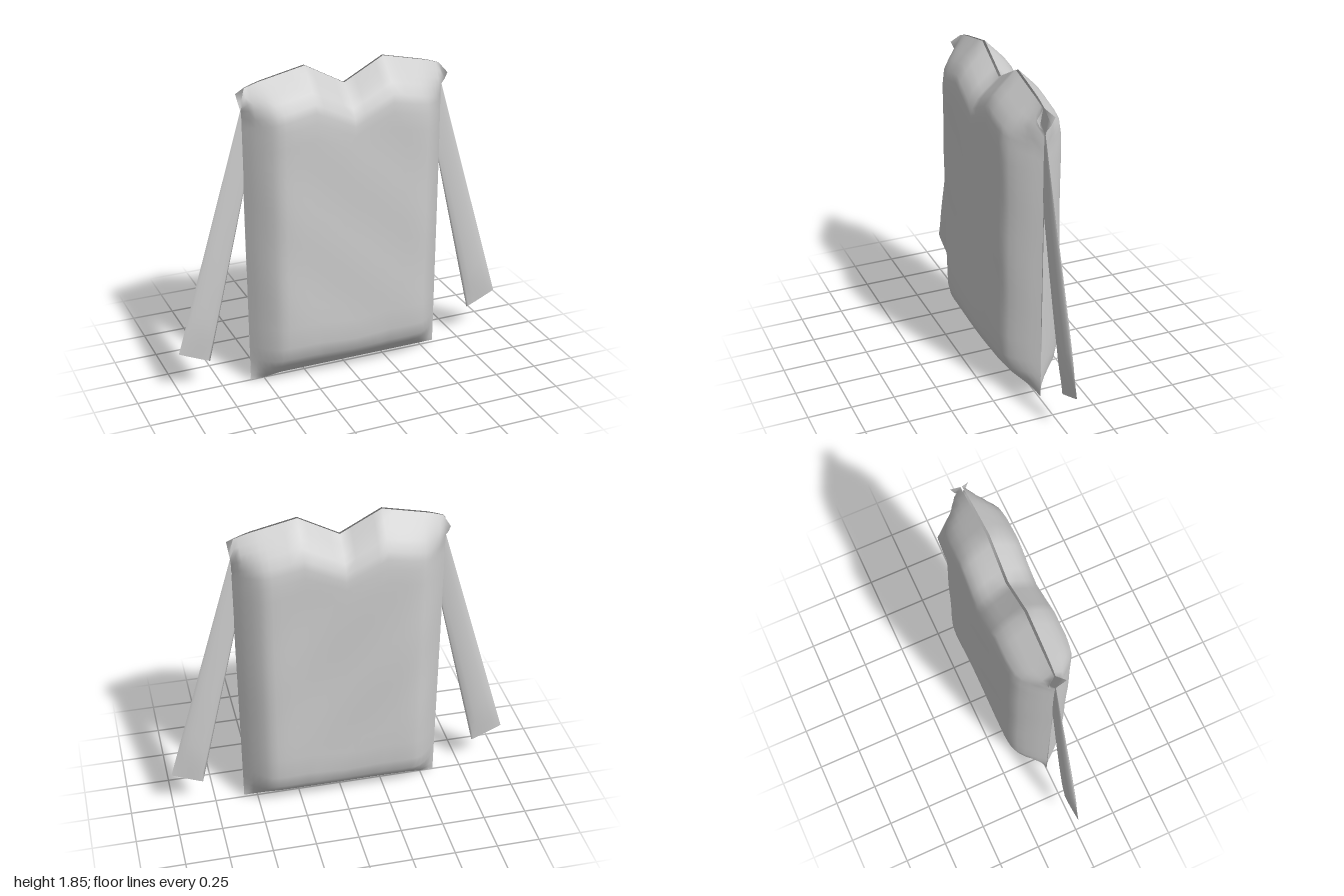
import * as THREE from 'three';

// piecewise-linear lookup through [x, y] points
function lerpAt(points, x) {
  if (x <= points[0][0]) return points[0][1];
  for (let i = 1; i < points.length; i++) {
    const [x0, y0] = points[i - 1], [x1, y1] = points[i];
    if (x <= x1) return y0 + (y1 - y0) * (x - x0) / (x1 - x0);
  }
  return points[points.length - 1][1];
}

// smooth surface from rows of equally many points
function gridGeometry(rows, flip) {
  const n = rows[0].length, index = [];
  for (let j = 0; j < rows.length - 1; j++) {
    for (let i = 0; i < n - 1; i++) {
      const a = j * n + i, b = a + 1, c = a + n, d = c + 1;
      if (flip) index.push(a, c, b, b, c, d);
      else index.push(a, b, c, b, d, c);
    }
  }
  const g = new THREE.BufferGeometry();
  g.setAttribute('position', new THREE.Float32BufferAttribute(rows.flat(2), 3));
  g.setIndex(index);
  g.computeVertexNormals();
  return g;
}

// outline and padding profiles of the body
const TOP = [[0, 1.725], [0.38, 1.85], [0.83, 1.79], [0.95, 1.765], [1, 1.72]];
const BOTTOM = [[-0.95, 0.003], [-0.85, 0], [-0.7, 0.013], [1, 0.015]];
const HALF_WIDTH = [[0, 0.58], [1.18, 0.59], [1.6, 0.59], [1.67, 0.596], [1.72, 0.603]];
const SIDE = [[0, 1], [0.6, 0.99], [0.73, 0.95], [0.8, 0.81], [0.87, 0.59], [0.94, 0.31], [1, 0.01]];
const SHOULDER = [[0, 1], [0.6, 0.99], [0.73, 0.95], [0.8, 0.87], [0.87, 0.73], [0.94, 0.56], [1, 0.3]];
const SHOULDER_BLEND = [[1.58, 0], [1.68, 1]];
const HEM = [[0, 0.01], [0.05, 0.38], [0.1, 0.66], [0.16, 0.92], [0.24, 1]];
const NECK = [[0, 0.04], [0.06, 0.38], [0.11, 0.66], [0.17, 0.91], [0.26, 1]];
const NECK_STEEPNESS = [[0, 1.25], [0.38, 1]];
const ARMHOLE = [[1.64, 0.002], [1.7, 0.052], [1.72, 0.052]];

// one padded panel: side +1 is the front, -1 the back
function panelGeometry(side) {
  const half = [0.1, 0.2, 0.3, 0.38, 0.5, 0.6, 0.68, 0.74, 0.8, 0.86, 0.91, 0.95, 1];
  const us = [...half.map(u => -u).reverse(), 0, ...half];
  const vs = [0, 0.015, 0.03, 0.055, 0.085, 0.13];
  for (let v = 0.2; v < 0.83; v += 0.06) vs.push(v);
  vs.push(0.85, 0.88, 0.905, 0.935, 0.955, 0.975, 1);
  const rows = vs.map(v => us.map(u => {
    const a = Math.abs(u), bottom = lerpAt(BOTTOM, u);
    const top = lerpAt(TOP, a);
    const y = bottom + v * (top - bottom);
    const blend = lerpAt(SHOULDER_BLEND, y);
    const across = lerpAt(SIDE, a) * (1 - blend) + lerpAt(SHOULDER, a) * blend;
    const neck = lerpAt(NECK, (top - y) * lerpAt(NECK_STEEPNESS, a));
    // faint folds in the cloth
    const fold = 0.004 * Math.sin(4 * u - 1.6 * y + side) + 0.002 * Math.sin(11 * y + 6 * u);
    let z = (0.178 + fold) * across * lerpAt(HEM, y - bottom) * neck;
    if (a === 1) z = lerpAt(ARMHOLE, y);
    return [u * lerpAt(HALF_WIDTH, y), y, side * z];
  }));
  return gridGeometry(rows, side < 0);
}

// flat hanging sleeve with a lens section, pressed shut at the cuff
const SLEEVE_DEPTH = [[0, 0.005], [0.3, 0.014], [0.6, 0.02], [0.85, 0.02], [1, 0.003]];
function sleeveGeometry(dir) {
  const rows = [], steps = 16, around = 12;
  for (let j = 0; j <= steps; j++) {
    const t = j / steps;
    const outer = [0.592 + 0.408 * t, 1.65 - 1.39 * t];
    const inner = [0.588 + 0.232 * t, 1.18 - 1.0 * t];
    const thick = lerpAt(SLEEVE_DEPTH, t);
    const drift = (dir > 0 ? -0.022 : 0.004) * t;
    const row = [];
    for (let i = 0; i <= around; i++) {
      const ang = i / around * Math.PI * 2;
      const k = 0.5 + 0.5 * Math.cos(ang);
      row.push([
        dir * (inner[0] + (outer[0] - inner[0]) * k),
        inner[1] + (outer[1] - inner[1]) * k,
        drift + thick * Math.sin(ang),
      ]);
    }
    rows.push(row);
  }
  return gridGeometry(rows, dir > 0);
}

export function createModel() {
  const model = new THREE.Group();
  model.name = 'shirt';
  const cloth = new THREE.MeshStandardMaterial({ color: 0xcccccc, side: THREE.DoubleSide });
  cloth.name = 'grey cloth';

  const add = (name, geometry) => {
    const mesh = new THREE.Mesh(geometry, cloth);
    mesh.name = name;
    model.add(mesh);
  };
  add('frontPanel', panelGeometry(1));
  add('backPanel', panelGeometry(-1));
  add('leftSleeve', sleeveGeometry(1));
  add('rightSleeve', sleeveGeometry(-1));
  return model;
}
